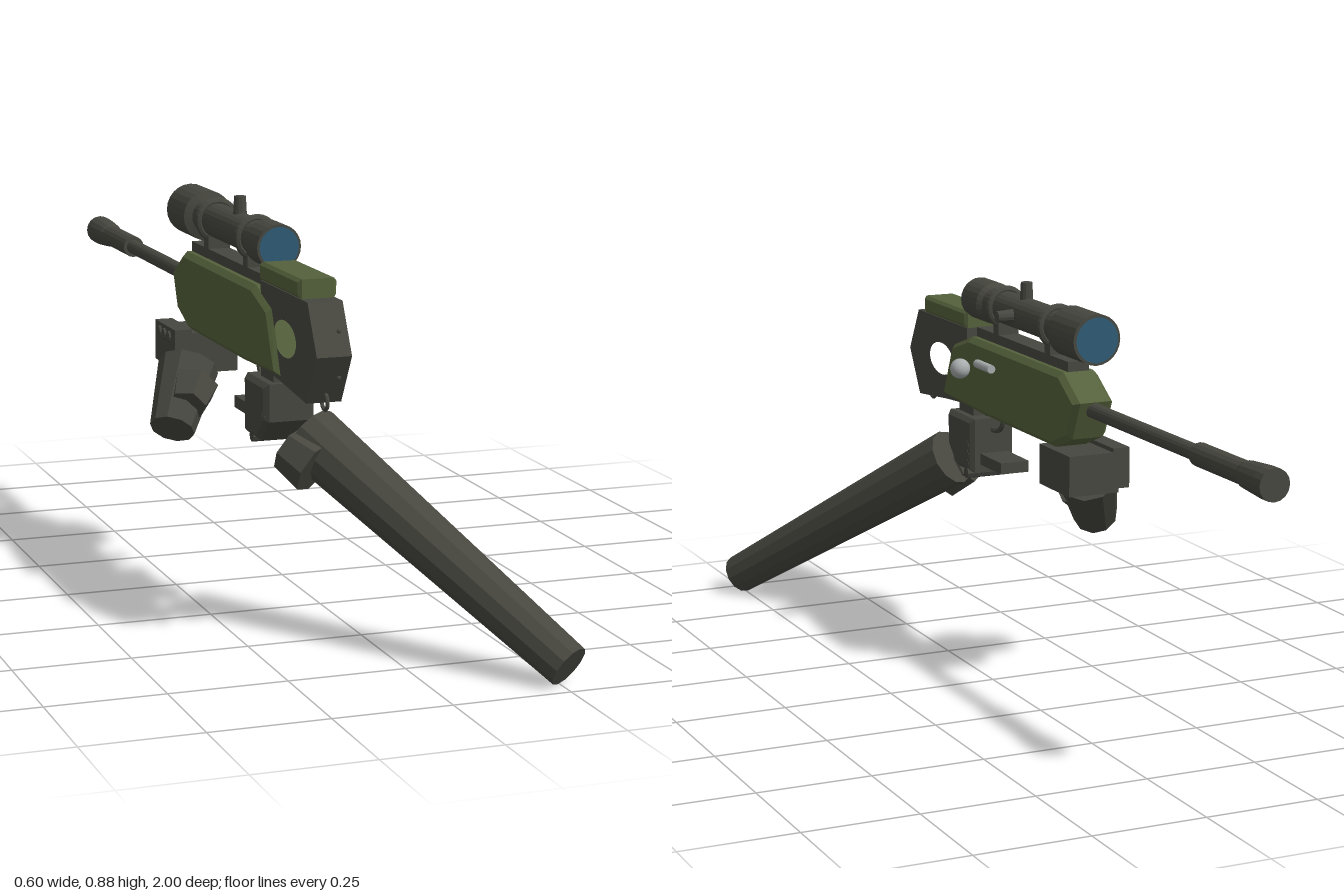
import * as THREE from 'three';

const CX = -0.136; // rifle centre plane
const V = (x, y, z) => new THREE.Vector3(x, y, z);

export function createModel() {
  const root = new THREE.Group();
  const paint = (name, color, flat = false) => {
    const m = new THREE.MeshStandardMaterial({ color });
    m.name = name;
    m.flatShading = flat;
    return m;
  };
  const dark = paint('gunmetal', 0x474740, true);
  const green = paint('olive green', 0x55623c, true);
  const blue = paint('lens blue', 0x2f5b75);
  const silver = paint('silver', 0xa9adad);

  const add = (name, geo, mat, x = 0, y = 0, z = 0, parent = root) => {
    const m = new THREE.Mesh(geo, mat);
    m.name = name;
    m.position.set(x, y, z);
    parent.add(m);
    return m;
  };
  const box = (name, w, h, d, x, y, z, mat = dark) => add(name, new THREE.BoxGeometry(w, h, d), mat, x, y, z);
  // Tapered cylinder from a to b
  const rod = (name, a, b, ra, rb, sides, mat = dark) => {
    const d = b.clone().sub(a);
    const m = add(name, new THREE.CylinderGeometry(rb, ra, d.length(), sides), mat);
    m.position.copy(a).add(b).multiplyScalar(0.5);
    m.quaternion.setFromUnitVectors(V(0, 1, 0), d.normalize());
    return m;
  };
  // Side outline in (z, y), given thickness across x
  const slab = (name, pts, width, bevel, mat, hole) => {
    const s = new THREE.Shape(pts.map(p => new THREE.Vector2(...p)));
    if (hole) s.holes.push(hole);
    const depth = width - 2 * bevel;
    const g = new THREE.ExtrudeGeometry(s, {
      depth, bevelEnabled: bevel > 0, bevelThickness: bevel, bevelSize: bevel,
      bevelOffset: -bevel, bevelSegments: 1, curveSegments: 20,
    });
    g.translate(0, 0, -depth / 2);
    g.rotateY(-Math.PI / 2);
    return add(name, g, mat, CX, 0, 0);
  };
  // Turned profile of [radius, z], running from high z to low z
  const turned = (name, profile, y, sides) => {
    const g = new THREE.LatheGeometry(profile.map(([r, z]) => new THREE.Vector2(r, -z)), sides);
    g.rotateX(-Math.PI / 2);
    return add(name, g, dark, CX, y, 0);
  };

  // Stock with thumb hole
  const thumb = new THREE.Path();
  thumb.absellipse(0.51, 0.648, 0.068, 0.038, 0, Math.PI * 2, true);
  slab('stock', [[0.645, 0.745], [0.70, 0.643], [0.64, 0.54], [0.48, 0.556],
    [0.36, 0.565], [0.36, 0.745]], 0.074, 0, dark, thumb);
  slab('cheekRest', [[0.605, 0.745], [0.605, 0.785], [0.36, 0.785], [0.36, 0.745]], 0.082, 0.007, green);

  // Receiver shell
  slab('receiverShell', [[0.43, 0.697], [0.33, 0.73], [-0.15, 0.73], [-0.233, 0.676],
    [-0.196, 0.59], [-0.115, 0.558], [0.25, 0.558], [0.485, 0.566]], 0.096, 0.012, green);
  box('topRail', 0.05, 0.03, 0.48, CX, 0.737, 0.09);

  // Barrel and muzzle
  turned('barrel', [[0, -0.2], [0.017, -0.2], [0.017, -0.7], [0.025, -0.7], [0.025, -0.89],
    [0.029, -0.9], [0.034, -0.97], [0.034, -1], [0, -1]], 0.657, 16);

  // Telescopic sight
  const sightY = 0.813;
  turned('scopeBody', [[0, 0.369], [0.048, 0.369], [0.048, 0.285], [0.038, 0.275], [0.038, -0.105],
    [0.056, -0.11], [0.056, -0.238], [0, -0.238]], sightY, 24);
  for (const [z, r, dir] of [[0.37, 0.043, 0], [-0.2395, 0.05, Math.PI]]) {
    add('lens', new THREE.CircleGeometry(r, 24), blue, CX, sightY, z + (dir ? -0.001 : 0.001)).rotation.y = dir;
  }
  for (const z of [0.225, -0.045]) {
    add('scopeRing', new THREE.TorusGeometry(0.041, 0.009, 8, 24), dark, CX, sightY, z);
    box('scopeMount', 0.05, 0.04, 0.03, CX, 0.762, z);
  }
  rod('elevationKnob', V(CX, 0.83, 0.115), V(CX, 0.887, 0.115), 0.016, 0.013, 12);
  rod('windageKnob', V(CX + 0.02, sightY, 0.115), V(CX + 0.074, sightY, 0.115), 0.016, 0.013, 12);

  // Bolt with detached ball handle
  rod('bolt', V(-0.078, 0.681, 0.257), V(-0.078, 0.681, 0.178), 0.01, 0.01, 12, silver);
  add('boltBall', new THREE.SphereGeometry(0.023, 20, 14), silver, -0.018, 0.681, 0.218);

  // Sling loop, butt screws, trigger and guard
  add('slingLoop', new THREE.TorusGeometry(0.017, 0.004, 6, 16), dark, CX, 0.543, 0.645).rotation.y = Math.PI / 2;
  for (const y of [0.7, 0.606]) add('buttScrew', new THREE.SphereGeometry(0.005, 6, 4), dark, CX, y, 0.725);
  const guard = new THREE.CatmullRomCurve3([V(CX, 0.565, 0.238), V(CX, 0.535, 0.243),
    V(CX, 0.517, 0.265), V(CX, 0.512, 0.305)]);
  add('triggerGuard', new THREE.TubeGeometry(guard, 12, 0.006, 6), dark);
  rod('trigger', V(CX, 0.565, 0.34), V(CX, 0.53, 0.325), 0.006, 0.004, 6);

  // Rear hand on the grip
  slab('gripHand', [[0.437, 0.54], [0.437, 0.46], [0.39, 0.413], [0.298, 0.413], [0.298, 0.54]], 0.11, 0.01, dark);
  box('gripPost', 0.06, 0.05, 0.08, CX, 0.55, 0.38);
  for (let i = 0; i < 4; i++) {
    const y = 0.475 - i * 0.022;
    rod('rearFinger', V(-0.182, y, 0.325), V(-0.08, y, 0.325), 0.013, 0.013, 8);
  }
  add('rearThumb', new THREE.SphereGeometry(0.014, 8, 6), dark, -0.18, 0.47, 0.42);
  box('indexFinger', 0.07, 0.026, 0.115, CX + 0.005, 0.45, 0.222);

  // Rear arm and cuff
  const shoulder = V(-0.09, 0.425, 0.43), elbow = V(0.26, 0.046, 0.965);
  rod('rearArm', shoulder, elbow, 0.067, 0.047, 12);
  rod('rearCuff', V(-0.14, 0.405, 0.445), V(-0.10, 0.372, 0.495), 0.05, 0.06, 7);

  // Front hand under the fore-end
  box('frontHand', 0.12, 0.09, 0.15, CX - 0.005, 0.513, -0.145);
  box('frontPalm', 0.04, 0.09, 0.15, -0.207, 0.522, -0.145);
  for (let i = 0; i < 3; i++) {
    const z = -0.11 - i * 0.035;
    rod('frontFinger', V(-0.215, 0.547, z), V(-0.232, 0.547, z), 0.015, 0.012, 8);
  }

  // Front arm and cuff
  rod('frontArm', V(-0.19, 0.48, -0.09), V(-0.258, 0.362, 0.005), 0.068, 0.05, 10);
  rod('frontCuff', V(-0.195, 0.45, -0.03), V(-0.225, 0.415, 0.015), 0.055, 0.042, 6);

  return root;
}
